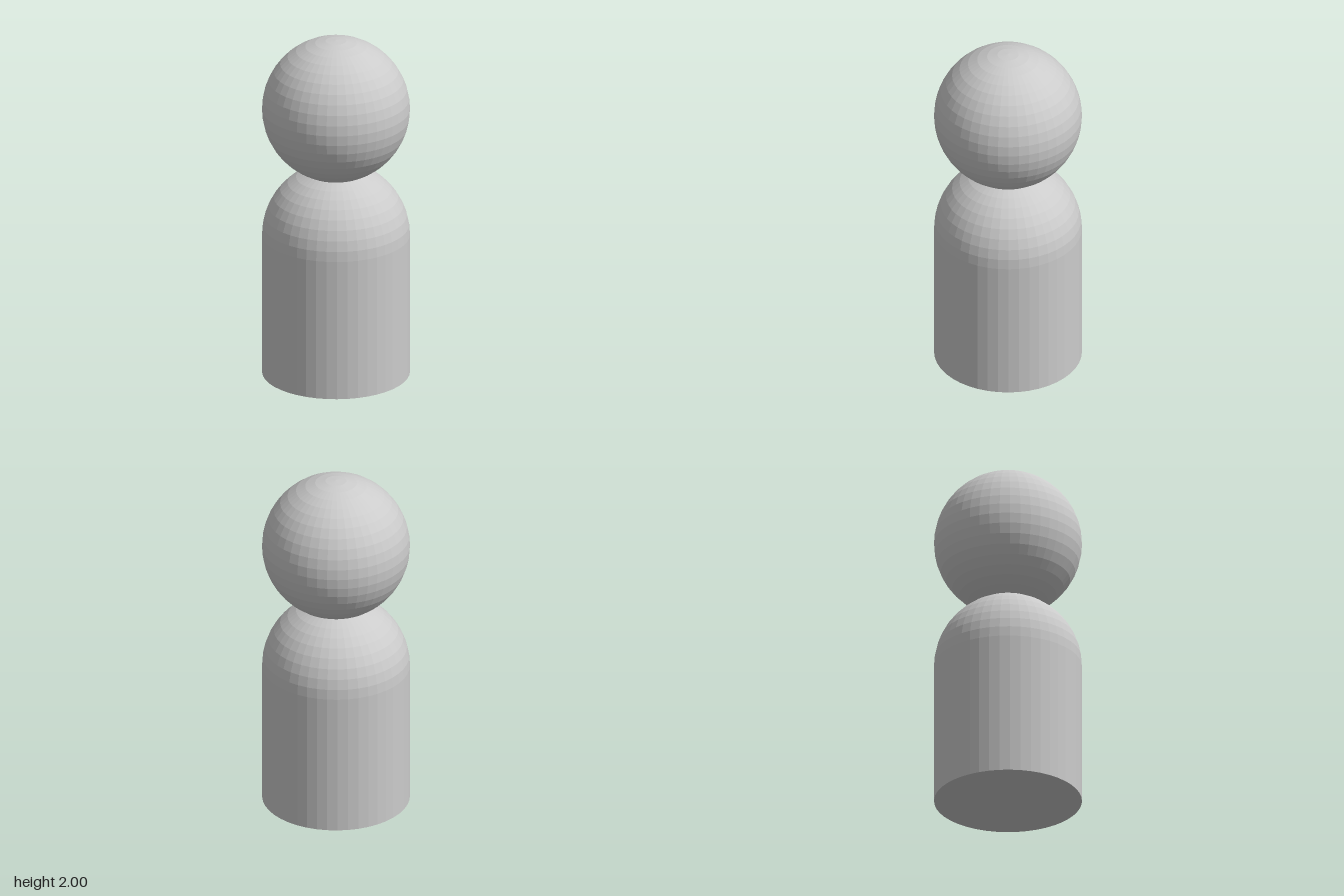
import * as THREE from 'three';

const R = 0.414;      // shared radius of head and body
const SIDES = 44;
const RINGS = 22;

export function createModel() {
  const group = new THREE.Group();
  const material = new THREE.MeshStandardMaterial({ color: 0xcccccc, flatShading: true });

  // Body: flat-bottomed cylinder that closes in a hemispherical shoulder dome
  const shoulderY = 2 * R;
  const profile = [new THREE.Vector2(0, 0), new THREE.Vector2(R, 0)];
  for (let i = 0; i <= RINGS / 2; i++) {
    const a = (i / RINGS) * Math.PI;
    profile.push(new THREE.Vector2(Math.max(0, R * Math.cos(a)), shoulderY + R * Math.sin(a)));
  }
  const body = new THREE.Mesh(new THREE.LatheGeometry(profile, SIDES), material);
  body.name = 'body';

  // Head: ball sunk slightly into the dome
  const head = new THREE.Mesh(new THREE.SphereGeometry(R, SIDES, RINGS), material);
  head.name = 'head';
  head.position.y = 2 - R;

  group.add(body, head);
  return group;
}
